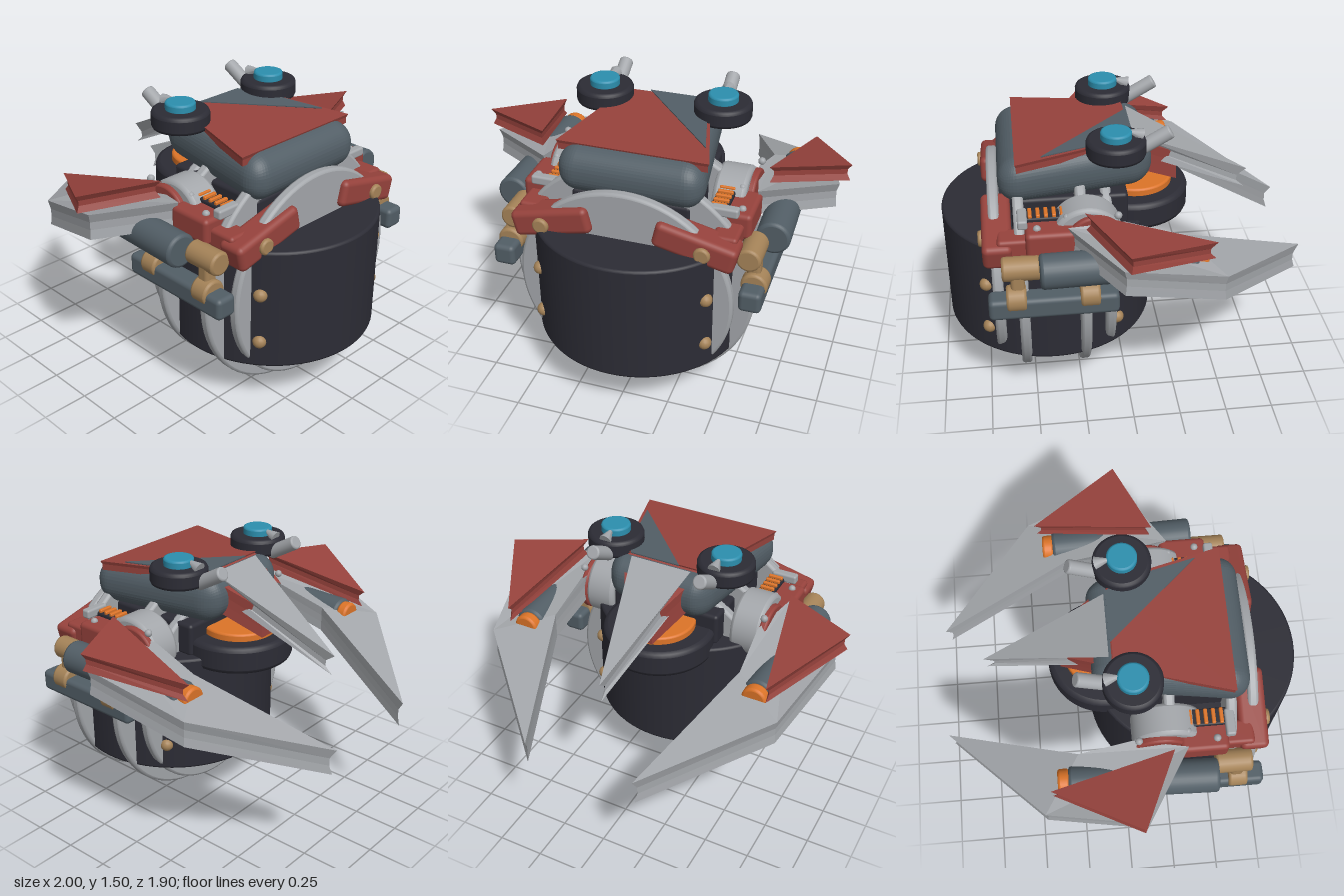
import * as THREE from 'three';
import { RoundedBoxGeometry } from 'three/addons/geometries/RoundedBoxGeometry.js';

export function createModel() {
  const model = new THREE.Group();
  const mat = (name, color, flat = false) => {
    const m = new THREE.MeshStandardMaterial({ color });
    m.name = name;
    m.flatShading = flat;
    return m;
  };
  const red = mat('red', 0x96423c);
  const silver = mat('silver', 0xa3a6aa);
  const slate = mat('slate', 0x525e66);
  const black = mat('black', 0x2c2c35);
  const copper = mat('copper', 0xa58358);
  const orange = mat('orange', 0xdc7428);
  const blue = mat('blue', 0x2c8fae);

  const add = (name, geo, material, x = 0, y = 0, z = 0, rx = 0, ry = 0, rz = 0) => {
    const m = new THREE.Mesh(geo, material);
    m.name = name;
    m.position.set(x, y, z);
    m.rotation.set(rx, ry, rz);
    model.add(m);
    return m;
  };
  const box = (w, h, d, r = 0.02) => new RoundedBoxGeometry(w, h, d, 3, r);

  // Round drum about y with a softened rim
  const drum = (r, h, b = 0.015, seg = 48) => {
    const v = (x, y) => new THREE.Vector2(x, y);
    const k = h / 2, e = 0.001;
    return new THREE.LatheGeometry([v(0, -k), v(r - b - e, -k), v(r - b, -k), v(r - b * 0.3, -k + b * 0.3), v(r, -k + b),
      v(r, -k + b + e), v(r, k - b - e), v(r, k - b), v(r - b * 0.3, k - b * 0.3), v(r - b, k), v(r - b - e, k), v(0, k)], seg);
  };

  // Blade with a pinched waist: top loop, inset middle loop, bottom loop
  const blade = (pts, depth, inset) => {
    let list = pts;
    const flat = (l) => l.map(([x, , z]) => new THREE.Vector2(x, -z));
    if (THREE.ShapeUtils.isClockWise(flat(list))) list = [...list].reverse();
    const n = list.length;
    const cx = list.reduce((s, p) => s + p[0], 0) / n;
    const cz = list.reduce((s, p) => s + p[2], 0) / n;
    const ring = (dy, s) => list.map(([x, y, z]) => [cx + (x - cx) * s, y - dy, cz + (z - cz) * s]);
    const rings = [ring(0, 1), ring(depth * 0.35, inset), ring(depth * 0.65, inset), ring(depth, 0.98)];
    const pos = [];
    const tri = (a, b, c) => pos.push(...a, ...b, ...c);
    for (const [a, b, c] of THREE.ShapeUtils.triangulateShape(flat(list), [])) {
      tri(rings[0][a], rings[0][b], rings[0][c]);
      tri(rings[3][c], rings[3][b], rings[3][a]);
    }
    for (let k = 0; k < 3; k++) for (let i = 0; i < n; i++) {
      const j = (i + 1) % n, T = rings[k], B = rings[k + 1];
      tri(T[i], B[i], B[j]);
      tri(T[i], B[j], T[j]);
    }
    const g = new THREE.BufferGeometry();
    g.setAttribute('position', new THREE.Float32BufferAttribute(pos, 3));
    g.computeVertexNormals();
    return g;
  };

  // Upright drum and the four upright discs cutting through it
  add('mainDrum', drum(0.56, 0.66, 0.012, 72), black, 0, 0.63, 0.39);
  for (const [z, r] of [[0.67, 0.565], [0.545, 0.645], [0.23, 0.645], [0.095, 0.565]])
    add('disc', drum(r, 0.055, 0.014, 72), silver, 0, 0.65, z, Math.PI / 2);

  // Tapered hull
  const hullGeo = new RoundedBoxGeometry(0.78, 0.25, 0.79, 6, 0.115);
  const hp = hullGeo.attributes.position;
  for (let i = 0; i < hp.count; i++) {
    const t = (0.395 - hp.getZ(i)) / 0.79;
    hp.setX(i, hp.getX(i) * (1 - 0.28 * t));
    hp.setY(i, hp.getY(i) + 0.03 * t);
  }
  hullGeo.computeVertexNormals();
  add('hull', hullGeo, slate, 0, 1.24, 0.245);
  add('core', box(0.62, 0.18, 0.6), black, 0, 1.04, 0.28);

  // Sloped roof plate, its slate inlay and the red tail beneath the fin
  const roof = [[-0.39, 1.375, 0.55], [0.39, 1.375, 0.55], [0.23, 1.405, -0.04], [-0.23, 1.405, -0.04]];
  add('roofPlate', blade(roof, 0.05, 0.98), red);
  const inlay = [[-0.1, 1.41, -0.05], [0.18, 1.41, -0.05], [0.24, 1.405, 0.05], [0.335, 1.388, 0.42]];
  add('roofInlay', blade(inlay, 0.008, 1), slate);
  const tail = [[-0.23, 1.4, -0.03], [0.23, 1.4, -0.03], [0.08, 1.23, -0.31], [-0.08, 1.23, -0.31]];
  add('tail', blade(tail, 0.16, 0.97), red);
  const fin = [[-0.17, 1.395, -0.06], [0.17, 1.395, -0.06], [0, 1.06, -0.71]];
  add('tailFin', blade(fin, 0.11, 0.88), silver);

  // Rear turbine
  add('turbine', drum(0.3, 0.15, 0.025), black, 0, 0.97, -0.075);
  add('turbineGlow', drum(0.2, 0.05, 0.01), orange, 0, 1.06, -0.09);

  for (const s of [-1, 1]) {
    const mir = (pts) => pts.map(([x, y, z]) => [x * s, y, z]);

    // Swept wing and the red fin above it
    add('wing', blade(mir([[0.305, 0.745, -0.95], [0.83, 0.945, -0.44], [0.95, 1.1, 0.08],
      [0.58, 1.12, 0.31], [0.52, 1.1, 0.03], [0.545, 1.02, -0.25]]), 0.14, 0.96), silver);
    add('wingFin', blade(mir([[0.745, 1.09, -0.4], [1.0, 1.205, 0.055], [0.615, 1.22, 0.23]]), 0.09, 0.9), red);

    // Eye turret with its small barrel
    add('eyeRim', drum(0.15, 0.095, 0.018), black, s * 0.32, 1.412, 0.045);
    add('eyeLens', drum(0.078, 0.05, 0.01), blue, s * 0.32, 1.475, 0.045);
    add('eyeBarrel', drum(0.037, 0.19, 0.008, 24), silver, s * 0.3, 1.425, -0.15, -Math.PI / 2 + 0.52);
    add('eyePointer', new THREE.ConeGeometry(0.035, 0.09, 8), silver, s * 0.31, 1.48, -0.045, 1.2);

    // Red shoulder brackets, bolts and side drum
    add('frontBracket', box(0.42, 0.14, 0.15, 0.03), red, s * 0.37, 1.0, 0.66, 0, 0, -s * 0.23);
    add('bracketBolt', drum(0.042, 0.05, 0.01, 20), copper, s * 0.415, 0.985, 0.73, Math.PI / 2);
    add('sideBracket', box(0.19, 0.14, 0.25, 0.025), red, s * 0.505, 1.03, 0.395);
    add('bracketLink', box(0.13, 0.1, 0.2), red, s * 0.5, 1.0, 0.56);
    add('sideDrum', drum(0.18, 0.17, 0.02), silver, s * 0.44, 1.0, 0.21, 0, 0, Math.PI / 2);
    add('sideDrumRim', drum(0.15, 0.04, 0.01), red, s * 0.535, 1.0, 0.17, 0, 0, Math.PI / 2);
    add('clamp', box(0.14, 0.05, 0.05, 0.012), silver, s * 0.47, 1.12, 0.53);
    for (const [x, y, z] of [[0.54, 1.1, 0.46], [0.48, 1.0, 0.68], [0.54, 1.15, 0.06], [0.5, 1.13, 0.31]])
      add('stud', new THREE.SphereGeometry(0.02, 12, 8), silver, s * x, y, z);

    // Vent with glowing slats
    add('ventBox', box(0.09, 0.1, 0.22, 0.01), black, s * 0.43, 1.07, 0.41);
    for (let i = 0; i < 5; i++)
      add('ventSlat', box(0.08, 0.03, 0.02, 0.006), orange, s * 0.43, 1.12, 0.33 + i * 0.04);

    // Thruster pod with its nozzle
    add('thruster', drum(0.088, 0.77, 0.015, 32), slate, s * 0.685, 0.955, 0.075, Math.PI / 2, 0, -s * 0.03);
    add('thrusterNozzle', drum(0.068, 0.06, 0.012, 28), orange, s * 0.67, 0.965, -0.335, Math.PI / 2);
    add('thrusterCoupling', drum(0.062, 0.19, 0.012, 24), copper, s * 0.62, 0.93, 0.55, Math.PI / 2);

    // Lower arm with copper clamps
    add('lowerArm', box(0.115, 0.115, 0.65, 0.025), slate, s * 0.65, 0.735, 0.395);
    for (const z of [0.58, 0.215])
      add('armClamp', drum(0.068, 0.1, 0.012, 24), copper, s * 0.65, 0.775, z, Math.PI / 2);
    add('armStrut', box(0.07, 0.17, 0.07), copper, s * 0.64, 0.85, 0.57);

    // Copper rivets on the drum
    for (const z of [0.73, 0.055]) for (const y of [0.72, 0.45])
      add('rivet', new THREE.SphereGeometry(0.036, 16, 10), copper, s * 0.437, y, z);
  }
  return model;
}
